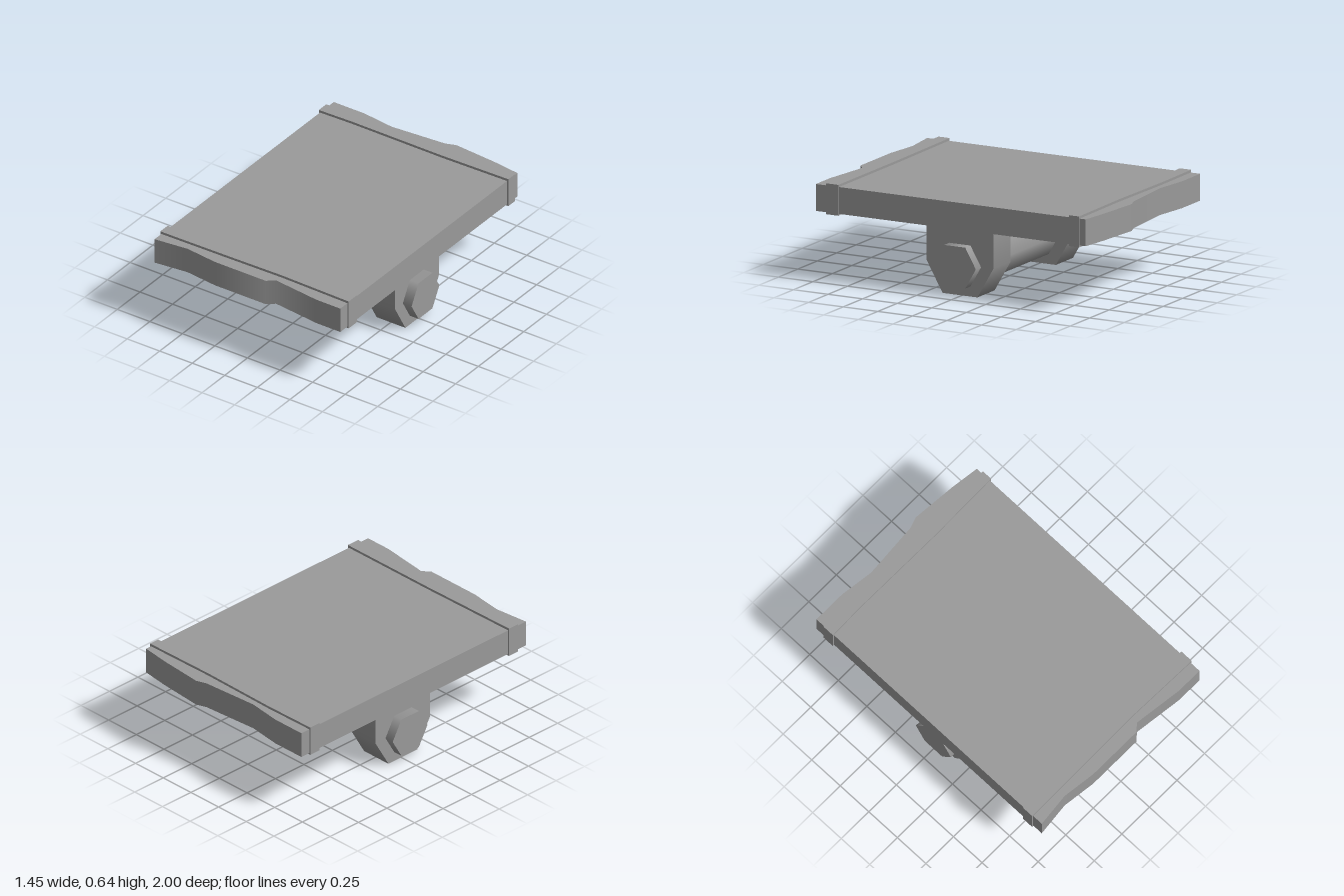
import * as THREE from 'three';

const material = new THREE.MeshStandardMaterial({ color: 0x9a9a9a });

function addMesh(group, name, geometry) {
  const mesh = new THREE.Mesh(geometry, material);
  mesh.name = name;
  group.add(mesh);
  return mesh;
}

// Extrudes a 2D outline; walls meeting at a shallow angle shade smoothly, right angles stay sharp
function extrude(points, depth) {
  const shape = new THREE.Shape(points.map(([a, b]) => new THREE.Vector2(a, b)));
  const geometry = new THREE.ExtrudeGeometry(shape, { depth, bevelEnabled: false });
  const { position, normal } = geometry.attributes;
  const key = i => `${position.getX(i).toFixed(4)},${position.getY(i).toFixed(4)}`;
  const flat = Array.from({ length: normal.count }, (_, i) => new THREE.Vector3().fromBufferAttribute(normal, i));
  const isWall = n => Math.abs(n.z) < 0.5;

  // The distinct wall directions at each outline corner
  const corners = {};
  flat.forEach((n, i) => {
    if (!isWall(n)) return;
    const list = (corners[key(i)] ??= []);
    if (!list.some(m => m.dot(n) > 0.9999)) list.push(n);
  });
  flat.forEach((n, i) => {
    if (!isWall(n)) return;
    const smooth = new THREE.Vector3();
    corners[key(i)].filter(m => m.angleTo(n) < 1.2).forEach(m => smooth.add(m));
    smooth.normalize();
    normal.setXYZ(i, smooth.x, smooth.y, smooth.z);
  });
  return geometry;
}

// Slab between a back and a front edge given as [x, z], from y0 to y1
function slab(back, front, y0, y1) {
  const outline = [...back, ...[...front].reverse()].map(([x, z]) => [x, -z]);
  return extrude(outline, y1 - y0).rotateX(-Math.PI / 2).translate(0, y0, 0);
}

export function createModel() {
  const model = new THREE.Group();
  model.name = 'plankOnAxle';

  // Board with roughly cut ends
  addMesh(model, 'board', slab(
    [[-0.715, -0.975], [-0.48, -0.975], [-0.25, -0.945], [0.14, -0.975], [0.21, -1], [0.52, -0.975], [0.713, -0.95]],
    [[-0.715, 0.998], [-0.48, 0.972], [-0.25, 1], [0.14, 1], [0.19, 0.958], [0.53, 1], [0.713, 1]],
    0.451, 0.625));

  // Slightly uneven straps wrapped round both ends
  addMesh(model, 'backStrap', slab(
    [[-0.724, -0.905], [-0.35, -0.91], [0.2, -0.9], [0.723, -0.907]],
    [[-0.724, -0.823], [-0.48, -0.83], [0.22, -0.826], [0.723, -0.836]],
    0.441, 0.641));
  addMesh(model, 'frontStrap', slab(
    [[-0.724, 0.842], [0, 0.832], [0.723, 0.832]],
    [[-0.724, 0.922], [-0.25, 0.917], [0.2, 0.91], [0.723, 0.922]],
    0.441, 0.641));

  // Axle brackets, tapered below
  const bracket = [[0.255, 0.47], [0.255, 0.2], [0.14, 0], [-0.112, 0], [-0.228, 0.2], [-0.228, 0.47]];
  for (const [name, x] of [['rightBracket', -0.615], ['leftBracket', 0.392]]) {
    const geometry = extrude(bracket.map(([z, y]) => [-z, y]), 0.221).rotateY(Math.PI / 2);
    addMesh(model, name, geometry).position.x = x;
  }

  // Six-sided axle through both brackets
  const axle = new THREE.CylinderGeometry(0.153, 0.153, 1.36, 6).rotateZ(Math.PI / 2);
  addMesh(model, 'axle', axle).position.set(0, 0.198, 0.015);

  return model;
}
